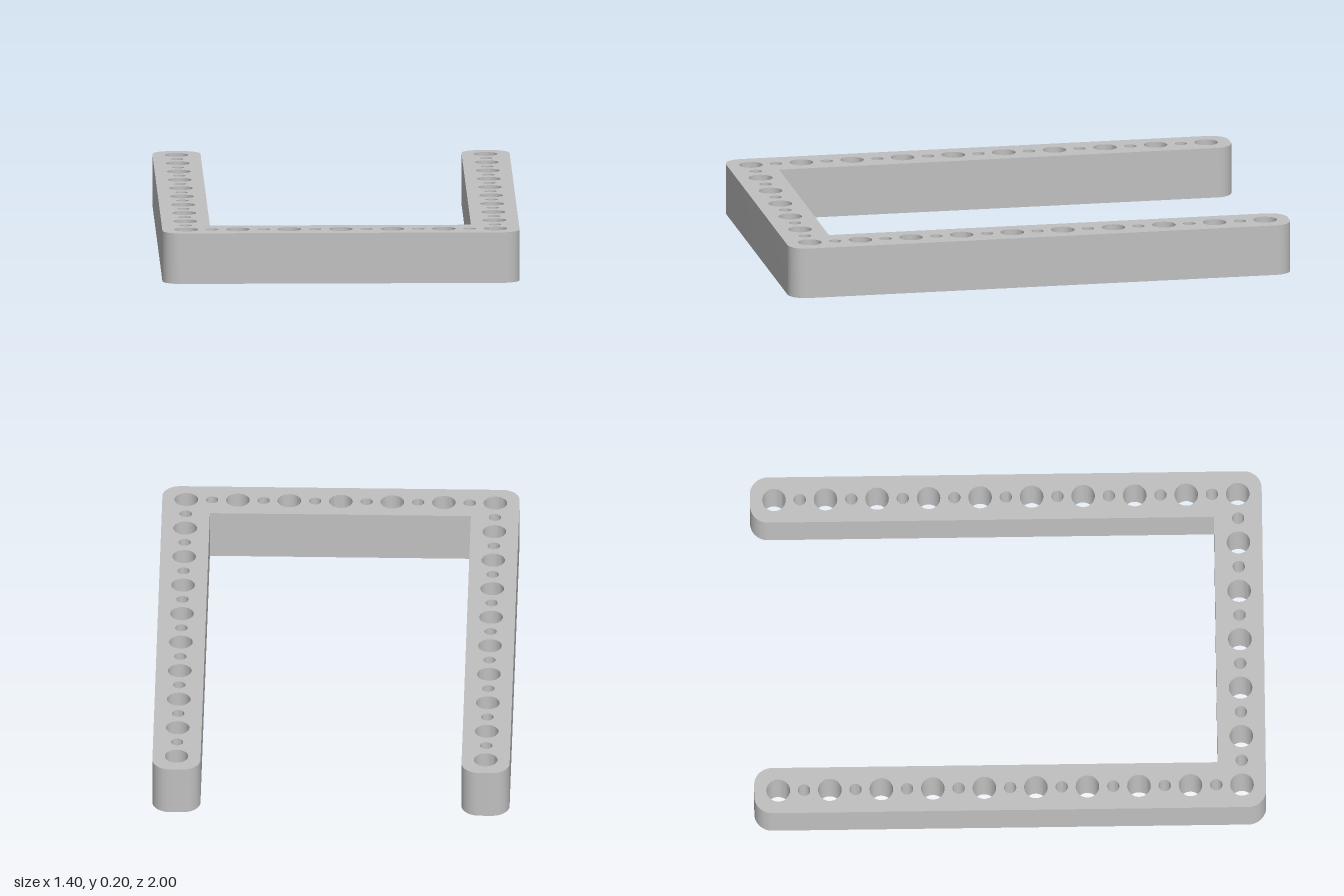
import * as THREE from 'three';
import { toCreasedNormals } from 'three/addons/utils/BufferGeometryUtils.js';

const PITCH = 0.2013;      // distance between large holes
const HALF_WIDTH = 0.094;  // half the width of a bar
const HEIGHT = 0.2;
const CORNER = 0.07;
const X = 3 * PITCH;       // centre line of the side arms
const Z = 4.5 * PITCH;     // centre line of the front bar

// U-shaped outline with rounded outer corners; shape y is -z
function frameOutline() {
  const ox = X + HALF_WIDTH, ix = X - HALF_WIDTH;
  const oz = Z + HALF_WIDTH, iz = Z - HALF_WIDTH;
  const r = CORNER, q = Math.PI / 2;
  const s = new THREE.Shape();
  s.moveTo(-ox + r, -oz);
  s.absarc(ox - r, -oz + r, r, -q, 0);
  s.absarc(ox - r, oz - r, r, 0, q);
  s.absarc(ix + r, oz - r, r, q, 2 * q);
  s.lineTo(ix, -iz);
  s.lineTo(-ix, -iz);
  s.absarc(-ix - r, oz - r, r, 0, q);
  s.absarc(-ox + r, oz - r, r, q, 2 * q);
  s.absarc(-ox + r, -oz + r, r, 2 * q, 3 * q);
  return s;
}

export function createModel() {
  const grey = new THREE.MeshStandardMaterial({ color: 0xc0c0c0 });
  grey.name = 'light grey';
  const shape = frameOutline();

  // Alternating large and small through holes
  const addHole = (x, y, i) => {
    const hole = new THREE.Path();
    hole.absarc(x, y, i % 2 ? 0.024 : 0.046, 0, Math.PI * 2, true);
    shape.holes.push(hole);
  };
  for (let i = 0; i <= 18; i++) {
    for (const side of [-1, 1]) addHole(side * X, -Z + i * PITCH / 2, i);
  }
  for (let i = 1; i < 12; i++) addHole(-X + i * PITCH / 2, -Z, i);

  const geometry = new THREE.ExtrudeGeometry(shape, {
    depth: HEIGHT, bevelEnabled: false, curveSegments: 16,
  });
  geometry.rotateX(-Math.PI / 2);

  const frame = new THREE.Mesh(toCreasedNormals(geometry, 0.7), grey);
  frame.name = 'perforatedFrame';
  const model = new THREE.Group();
  model.name = 'openFrame';
  model.add(frame);
  return model;
}
